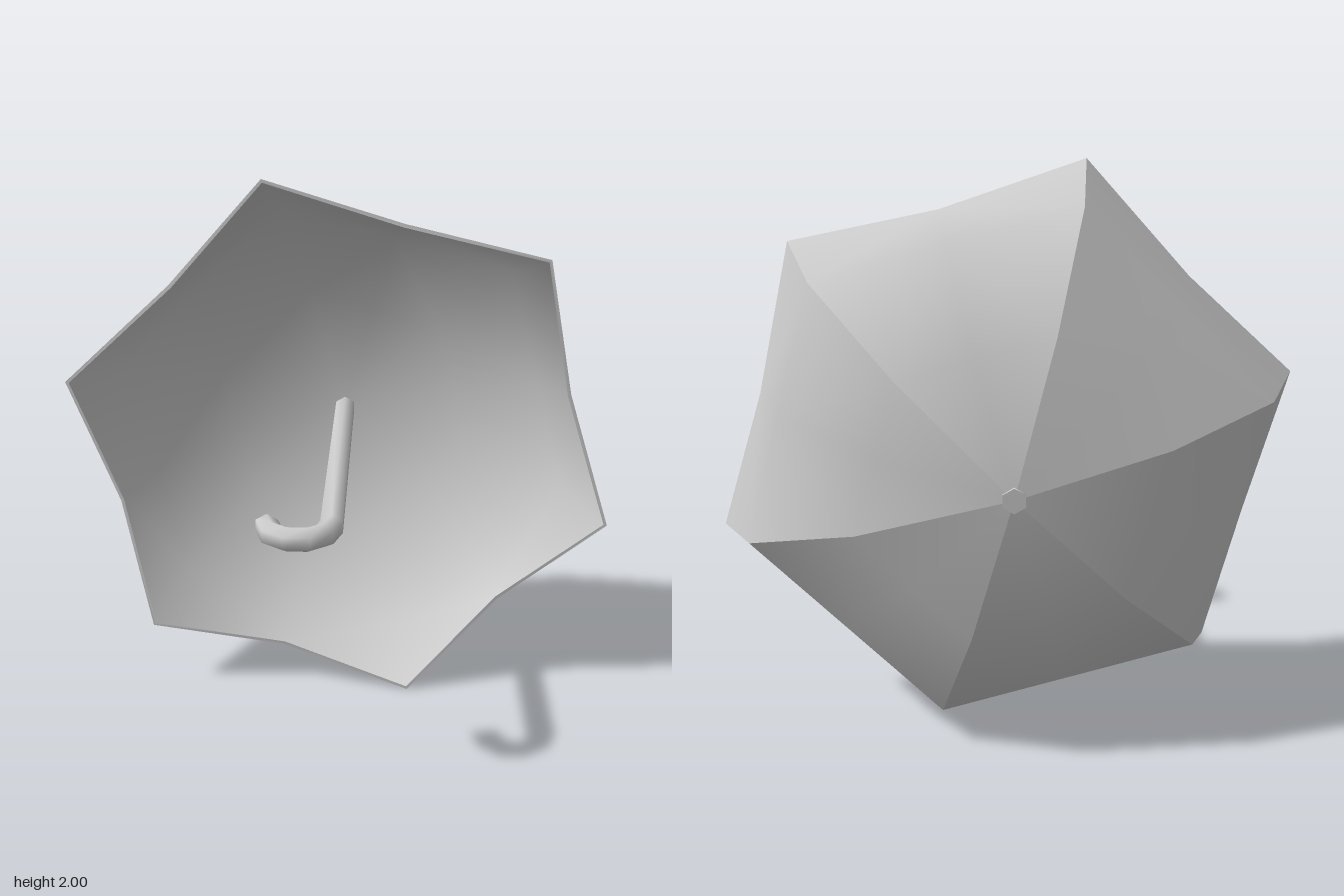
import * as THREE from 'three';
import { mergeVertices } from 'three/addons/utils/BufferGeometryUtils.js';

const material = new THREE.MeshStandardMaterial({ color: 0xcccccc });
const RIBS = 6;
const AXIS_Y = 1;

// [radius, z] along a rib from crown to tip; notch is the rim halfway between two ribs
const OUTER = { rib: [[0, -0.667], [0.52, -0.6], [0.9, -0.39], [1.035, -0.1]], notch: [0.87, -0.16] };
const INNER = { rib: [[0, -0.647], [0.51, -0.582], [0.885, -0.378], [1.022, -0.1]], notch: [0.857, -0.158] };

function polar([r, z], step) {
  const a = Math.PI / 4 + step * Math.PI / RIBS;
  return [r * Math.cos(a), AXIS_Y + r * Math.sin(a), z];
}

function geometry(positions, index) {
  const g = new THREE.BufferGeometry();
  g.setAttribute('position', new THREE.Float32BufferAttribute(positions, 3));
  g.setIndex(index);
  return g;
}

// All cloth panels of one skin; each panel has its own vertices so ribs stay creased
function clothSkin(skin, facesInward) {
  const pos = [], index = [];
  const last = skin.rib.length - 1;
  for (let k = 0; k < RIBS; k++) {
    const base = pos.length / 3;
    skin.rib.forEach(([r, z], i) => {
      const mid = i === last ? skin.notch : [r * Math.cos(Math.PI / RIBS), z];
      pos.push(...polar([r, z], 2 * k), ...polar(mid, 2 * k + 1), ...polar([r, z], 2 * k + 2));
    });
    for (let i = 0; i < last; i++) {
      for (let j = 0; j < 2; j++) {
        const a = base + i * 3 + j, b = a + 1, c = a + 3, d = a + 4;
        const tris = j === 0 ? [[a, b, d], [a, d, c]] : [[a, b, c], [b, d, c]];
        for (const t of tris) {
          if (i === 0 && t.includes(a) && t.includes(b)) continue; // collapsed at the crown
          index.push(...(facesInward ? t.reverse() : t));
        }
      }
    }
  }
  let g = geometry(pos, index);
  if (facesInward) g = mergeVertices(g, 1e-4);
  g.computeVertexNormals();
  return g;
}

// Narrow hem joining the outer and inner skins
function hem() {
  const pos = [], index = [];
  const n = RIBS * 2;
  for (let s = 0; s < n; s++) {
    for (const skin of [OUTER, INNER]) {
      pos.push(...polar(s % 2 ? skin.notch : skin.rib[skin.rib.length - 1], s));
    }
    const a = 2 * s, b = a + 1, c = 2 * ((s + 1) % n), d = c + 1;
    index.push(a, c, d, a, d, b);
  }
  const g = geometry(pos, index);
  g.computeVertexNormals();
  return g;
}

// Six-sided rod that runs along z and ends in a half-circle hook
function rod(radius, hook, zBack, zBend) {
  const sides = 6, bends = 5;
  const rings = [{ x: 0, z: zBack, t: 0 }];
  for (let i = 0; i <= bends; i++) {
    const t = i / bends * Math.PI;
    rings.push({ x: hook * (Math.cos(t) - 1), z: zBend + hook * Math.sin(t), t });
  }
  const pos = [], index = [];
  rings.forEach(({ x, z, t }, i) => {
    for (let j = 0; j < sides; j++) {
      const p = j / sides * Math.PI * 2, w = radius * Math.sin(p);
      pos.push(x + w * Math.cos(t), AXIS_Y + radius * Math.cos(p), z + w * Math.sin(t));
      if (i === 0) continue;
      const a = (i - 1) * sides + j, b = (i - 1) * sides + (j + 1) % sides;
      index.push(a, a + sides, b + sides, a, b + sides, b);
    }
  });
  const g = geometry(pos, index);
  g.computeVertexNormals();
  return g;
}

export function createModel() {
  const model = new THREE.Group();
  model.name = 'umbrella';
  const add = (name, g, parent) => {
    const mesh = new THREE.Mesh(g, material);
    mesh.name = name;
    parent.add(mesh);
    return mesh;
  };

  // Canopy
  const canopy = new THREE.Group();
  canopy.name = 'canopy';
  add('canopyOutside', clothSkin(OUTER, false), canopy);
  add('canopyLining', clothSkin(INNER, true), canopy);
  add('canopyHem', hem(), canopy);

  // Shaft and hooked handle, with flat ends that both face the back
  const radius = 0.042, hook = 0.104, zBack = -0.672, zBend = 0.53;
  const shaft = new THREE.Group();
  shaft.name = 'shaft';
  add('shaftAndHook', rod(radius, hook, zBack, zBend), shaft);
  const cap = new THREE.CircleGeometry(radius, 6, Math.PI / 2).rotateY(Math.PI);
  add('shaftTip', cap, shaft).position.set(0, AXIS_Y, zBack);
  add('hookEnd', cap, shaft).position.set(-2 * hook, AXIS_Y, zBend);

  model.add(canopy, shaft);
  return model;
}
